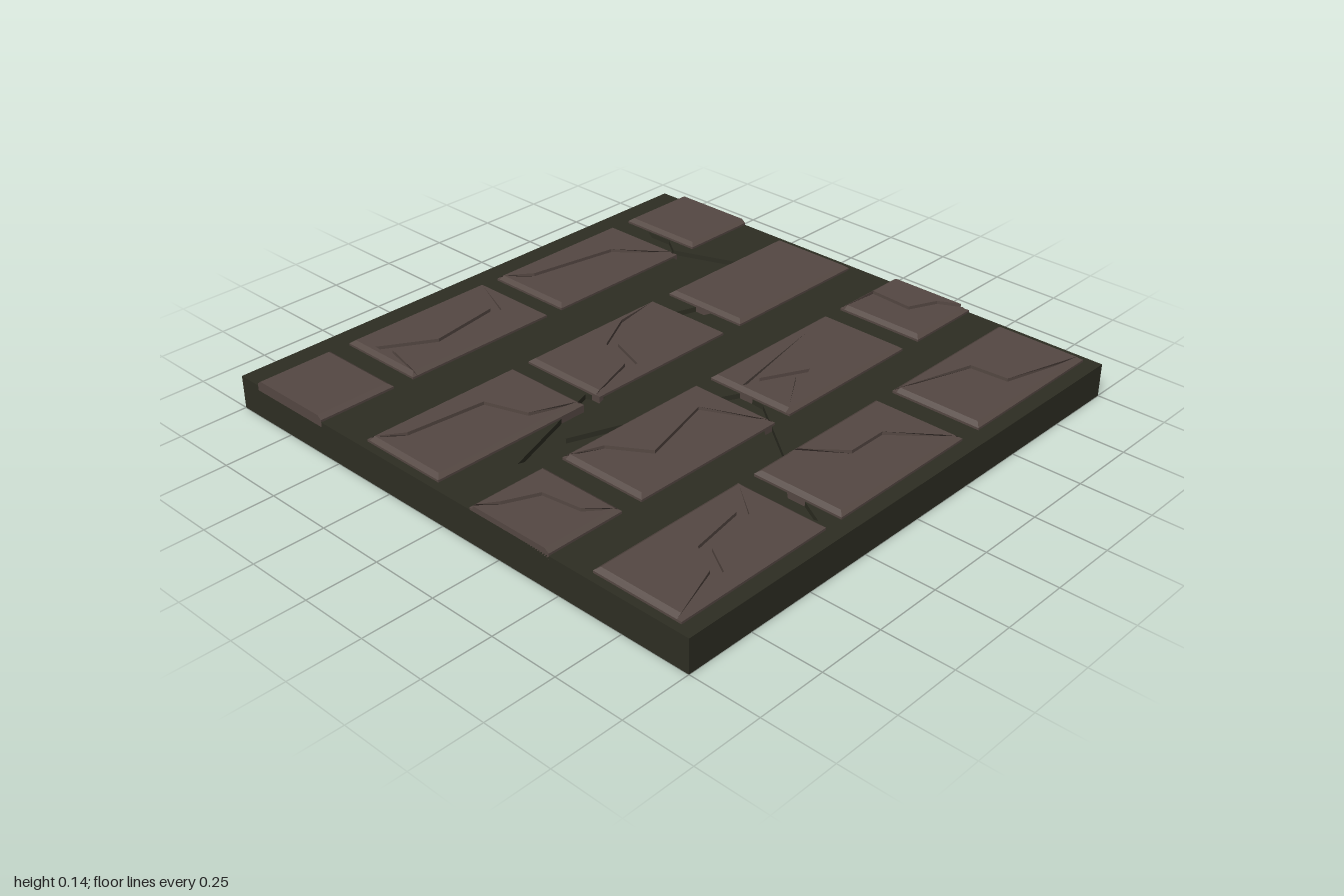
import * as THREE from 'three';

const TOP = 0.14, MORTAR = 0.12, GROOVE = 0.128, BEVEL = 0.016, HALF = 0.018;

// Brick rows: z range, then bricks as x range with the crack path running across
const rows = [
  { z: [-0.91, -0.575], bricks: [
    { x: [-1, -0.71] },
    { x: [-0.63, -0.035], crack: [[-0.63, -0.575], [-0.585, -0.78], [-0.42, -0.68], [-0.14, -0.72], [-0.035, -0.91]] },
    { x: [0.035, 0.62], crack: [[0.035, -0.91], [0.13, -0.81], [0.46, -0.75], [0.62, -0.575]] },
    { x: [0.705, 1] }] },
  { z: [-0.38, -0.045], bricks: [
    { x: [-0.97, -0.37], crack: [[-0.97, -0.38], [-0.88, -0.29], [-0.6, -0.26], [-0.55, -0.11], [-0.37, -0.045]] },
    { x: [-0.3, 0.29], crack: [[-0.3, -0.045], [-0.09, -0.11], [-0.04, -0.25], [0.11, -0.33], [0.29, -0.38]] },
    { x: [0.375, 0.97] }] },
  { z: [0.13, 0.465], bricks: [
    { x: [-1, -0.71], crack: [[-1, 0.13], [-0.94, 0.2], [-0.83, 0.25], [-0.81, 0.39], [-0.71, 0.465]] },
    { x: [-0.63, -0.035], crack: [[-0.63, 0.13], [-0.52, 0.2], [-0.43, 0.34], [-0.15, 0.26], [-0.035, 0.465]] },
    { x: [0.035, 0.62], crack: [[0.62, 0.13], [0.09, 0.255], [0.25, 0.34], [0.035, 0.465]] },
    { x: [0.705, 1], crack: [[0.705, 0.13], [0.85, 0.16], [0.84, 0.32], [0.95, 0.37], [1, 0.44]] }] },
  { z: [0.61, 0.945], bricks: [
    { x: [-0.97, -0.37], crack: [[-0.97, 0.945], [-0.75, 0.87], [-0.69, 0.77], [-0.49, 0.735], [-0.37, 0.61]] },
    { x: [-0.3, 0.29], crack: [[-0.13, 0.61], [-0.02, 0.77], [0.13, 0.77], [0.29, 0.945]] },
    { x: [0.375, 0.97], crack: [[0.375, 0.61], [0.65, 0.72], [0.66, 0.86], [0.97, 0.945]] }] },
];

// Outlines of the cracks sunk into the mortar
const mortarCracks = [
  [[-0.31, -0.1], [-0.74, 0.05], [-0.49, 0.13], [-0.33, 0.13], [-0.54, 0.05], [-0.28, -0.04]],
  [[0.7, -0.8], [0.63, -0.68], [0.6, -0.56], [0.66, -0.38], [0.74, -0.38], [0.65, -0.62], [0.7, -0.69]],
  [[0.29, -0.28], [0.38, -0.25], [0.38, -0.18], [0.29, -0.21]],
  [[-0.04, 0.22], [0.04, 0.26], [0.03, 0.36], [-0.15, 0.6], [-0.29, 0.79], [-0.35, 0.9],
    [-0.38, 0.82], [-0.29, 0.73], [-0.2, 0.6], [-0.03, 0.4], [0.01, 0.33], [-0.04, 0.32]],
];

const toVectors = (points) => points.map(([x, z]) => new THREE.Vector2(x, z));
const clamp = THREE.MathUtils.clamp;

// Upright prism from an outline in x and z
function prism(shape, bottom, top) {
  const g = new THREE.ExtrudeGeometry(shape, { depth: top - bottom, bevelEnabled: false });
  return g.rotateX(Math.PI / 2).translate(0, top, 0);
}

// Path moved sideways by d, kept inside the rectangle, with both ends on its rim
function sideLine(path, d, [x0, x1, z0, z1]) {
  const normals = path.slice(1).map(([x, z], i) => {
    const dx = x - path[i][0], dz = z - path[i][1], l = Math.hypot(dx, dz);
    return [-dz / l, dx / l];
  });
  return path.map(([x, z], i) => {
    const a = normals[Math.max(i - 1, 0)], b = normals[Math.min(i, normals.length - 1)];
    const k = d / Math.max(1 + a[0] * b[0] + a[1] * b[1], 0.35);
    const p = [clamp(x + (a[0] + b[0]) * k, x0, x1), clamp(z + (a[1] + b[1]) * k, z0, z1)];
    if (i === 0 || i === path.length - 1) {
      const gaps = [p[1] - z0, x1 - p[0], z1 - p[1], p[0] - x0];
      const side = gaps.indexOf(Math.min(...gaps));
      if (side % 2) p[0] = side === 1 ? x1 : x0;
      else p[1] = side === 0 ? z0 : z1;
    }
    return p;
  });
}

// Corners passed when walking round the rim from point a to point b
function cornersBetween(a, b, [x0, x1, z0, z1]) {
  const corners = [[x0, z0], [x1, z0], [x1, z1], [x0, z1]];
  const along = ([x, z]) => {
    const u = (x - x0) / (x1 - x0), v = (z - z0) / (z1 - z0);
    if (v < 1e-6) return u;
    if (u > 1 - 1e-6) return 1 + v;
    return v > 1 - 1e-6 ? 3 - u : 4 - v;
  };
  const from = along(a);
  let to = along(b);
  if (to < from) to += 4;
  const out = [];
  for (let k = Math.ceil(from + 1e-5); k < to - 1e-5; k++) out.push(corners[k % 4]);
  return out;
}

// Outlines of the brick face, split in two where a crack crosses it
function brickOutlines(rect, crack) {
  const [x0, x1, z0, z1] = rect;
  if (!crack) return [[[x0, z0], [x1, z0], [x1, z1], [x0, z1]]];
  return [crack, crack.slice().reverse()].map((path) => {
    const line = sideLine(path, HALF, rect);
    return [...line, ...cornersBetween(line[line.length - 1], line[0], rect)];
  });
}

// Raised face piece whose upper rim is drawn in to form the bevel
function facePiece(outline, [x0, x1, z0, z1]) {
  const g = prism(new THREE.Shape(toVectors(outline)), GROOVE, TOP);
  const p = g.attributes.position;
  const left = x0 <= -1 ? x0 : x0 + BEVEL, right = x1 >= 1 ? x1 : x1 - BEVEL;
  for (let i = 0; i < p.count; i++) {
    if (p.getY(i) < (GROOVE + TOP) / 2) continue;
    p.setX(i, clamp(p.getX(i), left, right));
    p.setZ(i, clamp(p.getZ(i), z0 + BEVEL, z1 - BEVEL));
  }
  g.computeVertexNormals();
  return g;
}

export function createModel() {
  const model = new THREE.Group();
  model.name = 'crackedBrickTile';
  const mortar = new THREE.MeshStandardMaterial({ name: 'dark mortar', color: 0x2e2e23 });
  const clay = new THREE.MeshStandardMaterial({ name: 'brown brick', color: 0x554843 });
  const add = (parent, name, geometry, material) => {
    const mesh = new THREE.Mesh(geometry, material);
    mesh.name = name;
    parent.add(mesh);
  };

  // Slab and the mortar layer with its open cracks
  const floor = 0.102;
  add(model, 'slab', new THREE.BoxGeometry(2, floor, 2).translate(0, floor / 2, 0), mortar);
  const layer = new THREE.Shape(toVectors([[-1, -1], [1, -1], [1, 1], [-1, 1]]));
  layer.holes = mortarCracks.map((c) => new THREE.Path(toVectors(c)));
  add(model, 'mortarLayer', prism(layer, floor, MORTAR), mortar);

  // Bricks: a low body that shows as the crack floor, and the face pieces above
  rows.forEach(({ z, bricks }, r) => bricks.forEach(({ x, crack }, b) => {
    const brick = new THREE.Group();
    brick.name = `brickRow${r + 1}Number${b + 1}`;
    const rect = [...x, ...z];
    const body = new THREE.BoxGeometry(x[1] - x[0], GROOVE - floor, z[1] - z[0]);
    body.translate((x[0] + x[1]) / 2, (GROOVE + floor) / 2, (z[0] + z[1]) / 2);
    add(brick, 'brickBody', body, clay);
    for (const outline of brickOutlines(rect, crack)) add(brick, 'brickFace', facePiece(outline, rect), clay);
    model.add(brick);
  }));
  return model;
}
